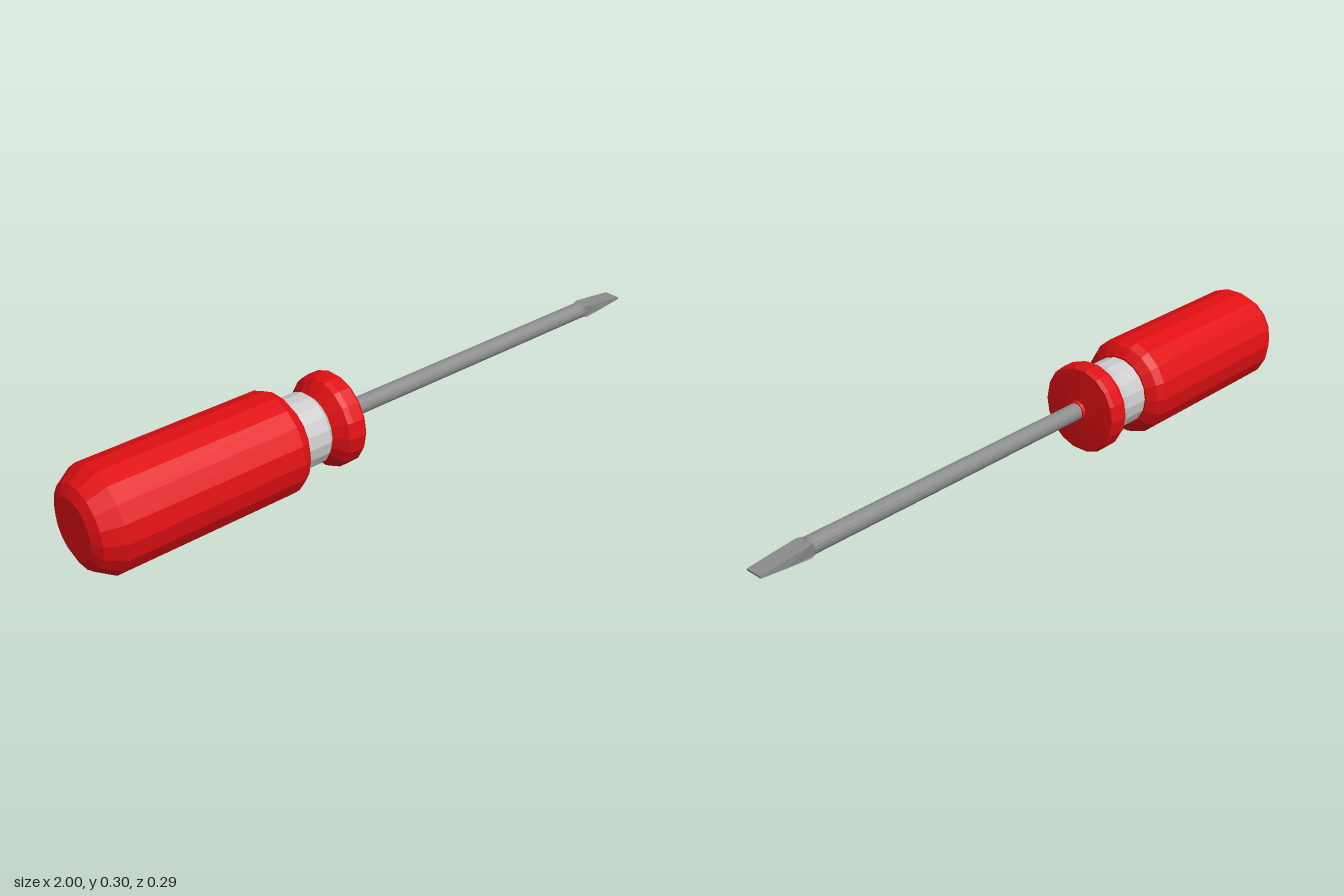
import * as THREE from 'three';

const AXIS_Y = 0.148;

function material(color) {
  return new THREE.MeshStandardMaterial({ color, flatShading: true });
}

// Turned part along x: profile is a list of [x, radius], from the butt to the tip
function turned(name, profile, color, sides = 18) {
  const points = profile.map(([x, r]) => new THREE.Vector2(r, x));
  const geometry = new THREE.LatheGeometry(points, sides);
  geometry.rotateZ(-Math.PI / 2);
  geometry.scale(1, 1, 0.97);
  const mesh = new THREE.Mesh(geometry, material(color));
  mesh.name = name;
  return mesh;
}

export function createModel() {
  const red = 0xe01014;
  const steel = 0x8c8c8c;
  const model = new THREE.Group();
  model.name = 'screwdriver';

  const body = new THREE.Group();
  body.name = 'body';
  body.position.y = AXIS_Y;
  model.add(body);

  // Grip with chamfered ends
  body.add(turned('grip', [
    [-1, 0], [-1, 0.085], [-0.985, 0.118], [-0.935, 0.15],
    [-0.395, 0.15], [-0.37, 0.138], [-0.35, 0.11], [-0.35, 0],
  ], red));

  // Pale collar in the neck
  body.add(turned('collar', [
    [-0.355, 0], [-0.355, 0.105], [-0.275, 0.105], [-0.255, 0.088], [-0.255, 0],
  ], 0xcccccc));

  // Finger guard and the small boss the shaft comes out of
  body.add(turned('guard', [
    [-0.262, 0], [-0.262, 0.088], [-0.23, 0.13], [-0.215, 0.136],
    [-0.18, 0.136], [-0.17, 0.128], [-0.163, 0.032], [-0.155, 0.03], [-0.155, 0],
  ], red));

  // Steel shaft
  body.add(turned('shaft', [
    [-0.2, 0], [-0.2, 0.026], [0.835, 0.026], [0.843, 0.02], [0.843, 0],
  ], steel));

  // Flat blade: a tapering side profile extruded across z
  const upper = [[0.835, 0.018], [0.85, 0.019], [0.92, 0.012], [1, 0.003]];
  const outline = [...upper, ...upper.map(([x, y]) => [x, -y]).reverse()];
  const shape = new THREE.Shape(outline.map(([x, y]) => new THREE.Vector2(x, y)));
  const bladeGeometry = new THREE.ExtrudeGeometry(shape, { depth: 0.052, bevelEnabled: false });
  bladeGeometry.translate(0, 0, -0.026);
  // Narrow the blade where it meets the shaft
  const pos = bladeGeometry.attributes.position;
  for (let i = 0; i < pos.count; i++) {
    if (pos.getX(i) < 0.849) pos.setZ(i, pos.getZ(i) * 0.8);
  }
  bladeGeometry.computeVertexNormals();
  const blade = new THREE.Mesh(bladeGeometry, material(steel));
  blade.name = 'blade';
  body.add(blade);

  return model;
}
